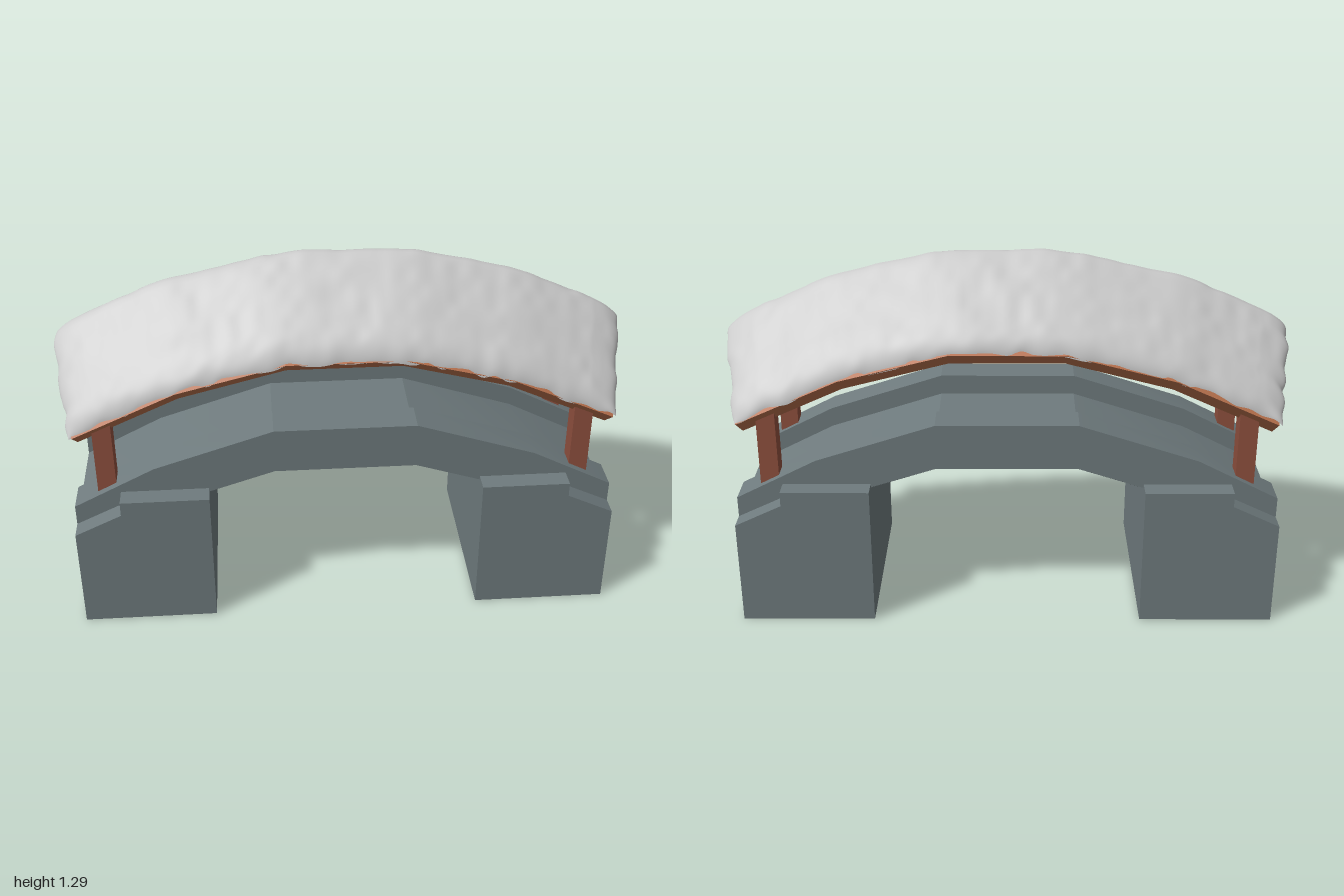
import * as THREE from 'three';
import { toCreasedNormals } from 'three/addons/utils/BufferGeometryUtils.js';

const mat = (color, extra = {}) => new THREE.MeshStandardMaterial({ color, ...extra });

// Piecewise-linear lookup, mirrored about x = 0; rows are [x, value]
function lookup(rows, x) {
  const a = Math.abs(x);
  let i = 0;
  while (i < rows.length - 2 && a > rows[i + 1][0]) i++;
  const [x0, v0] = rows[i], [x1, v1] = rows[i + 1];
  return v0 + (v1 - v0) * (a - x0) / (x1 - x0);
}

// Sweep a closed (z, y) section through stations; place(x, z, h) gives the point
function loft(section, stations, place, crease) {
  const n = section.length, pos = [], index = [];
  for (const x of stations) for (const [z, h] of section) pos.push(...place(x, z, h));
  for (let s = 0; s < stations.length - 1; s++) {
    for (let i = 0; i < n; i++) {
      const j = (i + 1) % n, a = s * n + i, b = s * n + j;
      index.push(a, a + n, b, b, a + n, b + n);
    }
  }
  const last = (stations.length - 1) * n;
  const caps = THREE.ShapeUtils.triangulateShape(section.map(p => new THREE.Vector2(...p)), []);
  for (const [a, b, c] of caps) index.push(a, b, c, last + a, last + c, last + b);
  const geo = new THREE.BufferGeometry();
  geo.setAttribute('position', new THREE.Float32BufferAttribute(pos, 3));
  geo.setIndex(index);
  return toCreasedNormals(geo, crease);
}

// Smooth value noise on a hashed lattice
function noise(x, y) {
  const hash = (i, j) => {
    const s = Math.sin(i * 127.1 + j * 311.7) * 43758.5453;
    return s - Math.floor(s);
  };
  const i = Math.floor(x), j = Math.floor(y);
  const u = THREE.MathUtils.smoothstep(x - i, 0, 1), v = THREE.MathUtils.smoothstep(y - j, 0, 1);
  const lerp = THREE.MathUtils.lerp;
  return lerp(lerp(hash(i, j), hash(i + 1, j), u), lerp(hash(i, j + 1), hash(i + 1, j + 1), u), v) * 2 - 1;
}

// Arch of the parapet top, eave line of the roof, and outward lean of the roof sections
const DECK = [[0, 0.74], [0.25, 0.74], [0.67, 0.605], [0.955, 0.46]];
const EAVE = [[0, 0.95], [0.2, 0.95], [0.57, 0.855], [0.925, 0.695]];
const LEAN = [[0, 0], [0.2, 0.04], [0.57, 0.17], [0.925, 0.22]];
const mirrored = list => [...list.map(x => -x).reverse(), ...list];

function snowGeometry() {
  const geo = new THREE.PlaneGeometry(2, 2, 200, 64), p = geo.attributes.position;
  for (let k = 0; k < p.count; k++) {
    // Crowd the grid towards the rims so they round over
    const u = Math.sin(p.getX(k) * Math.PI / 2), v = -Math.sin(p.getY(k) * Math.PI / 2);
    const xs = u * (0.931 + 0.007 * noise(v * 9, u > 0 ? 3 : 7));
    const z = v * (0.286 + 0.004 * noise(xs * 16, v > 0 ? 11 : 17));
    const h = 0.306 - 0.868 * (Math.sqrt(z * z + 0.0003) - 0.008);
    const rim = Math.sqrt(Math.max(0, 1 - Math.abs(v) ** 14)) * Math.sqrt(Math.max(0, 1 - Math.abs(u) ** 40));
    const lump = 0.004 * noise(xs * 9, z * 14) + 0.003 * noise(xs * 24 + 5, z * 24);
    const sag = -0.012 * (1 - rim) * (1 + noise(xs * 22, v * 8 + 30));
    // Average along the arch to soften its corners
    let y = 0;
    for (const d of [-0.1, -0.05, 0, 0.05, 0.1]) y += lookup(EAVE, xs + d * (1 - Math.abs(u))) / 5;
    const drop = Math.abs(u) > 0.9 ? 0.012 * (Math.abs(u) - 0.9) / 0.1 : 0;
    p.setXYZ(k, xs + h * lookup(LEAN, xs) * Math.sign(xs), y + h + rim * (0.036 + lump) + sag - drop * rim, z);
  }
  geo.computeVertexNormals();
  return geo;
}

export function createModel() {
  const group = new THREE.Group();
  const stone = mat(0x6f7b7e), timber = mat(0xb8714d), postWood = mat(0x8f503e);
  const snow = mat(0xcccccc, { side: THREE.DoubleSide });
  const add = (name, geo, material, parent = group) => {
    const mesh = new THREE.Mesh(geo, material);
    mesh.name = name;
    parent.add(mesh);
    return mesh;
  };

  // Arched deck: U-shaped section with parapets and a rounded belly
  const belly = Array.from({ length: 17 }, (_, i) => {
    const z = -0.285 + 0.57 * i / 16;
    return [z, -0.165 - 0.09 * Math.cos(Math.PI * z / 0.57)];
  });
  const deckSection = [...belly, [0.285, 0], [0.165, 0], [0.165, -0.073],
    [-0.165, -0.073], [-0.165, 0], [-0.285, 0]];
  add('archedDeck', loft(deckSection, mirrored([0.25, 0.67, 0.955]),
    (x, z, h) => [x, lookup(DECK, x) + h, z], 0.25), stone);

  // Abutments: a core below the deck and stepped shoulders on both sides
  const slab = (points, side, depth, z0) => {
    const shape = new THREE.Shape(points.map(([x, y]) => new THREE.Vector2(x * side, y)));
    return new THREE.ExtrudeGeometry(shape, { depth, bevelEnabled: false }).translate(0, 0, z0);
  };
  const core = [[0.48, 0], [0.955, 0], [0.955, 0.385], [0.67, 0.5], [0.48, 0.5]];
  const shoulder = [[0.48, 0], [0.955, 0], [0.955, 0.385], [0.79, 0.463], [0.79, 0.515], [0.48, 0.515]];
  for (const side of [-1, 1]) {
    const abutment = new THREE.Group();
    abutment.name = side > 0 ? 'leftAbutment' : 'rightAbutment';
    group.add(abutment);
    add('abutmentCore', slab(core, side, 0.57, -0.285), stone, abutment);
    add('frontShoulder', slab(shoulder, side, 0.07, 0.285), stone, abutment);
    add('backShoulder', slab(shoulder, side, 0.07, -0.355), stone, abutment);

    // Corner posts
    for (const face of [-1, 1]) {
      add(`${face > 0 ? 'front' : 'back'}${side > 0 ? 'Left' : 'Right'}Post`,
        new THREE.BoxGeometry(0.066, 0.29, 0.07), postWood).position.set(side * 0.839, 0.645, face * 0.222);
    }
  }

  // Gabled timber roof following the arch
  const roofSection = [[-0.23, 0], [0, 0.19], [0.23, 0], [0.288, 0.05], [0, 0.3], [-0.288, 0.05]];
  add('timberRoof', loft(roofSection, mirrored([0.2, 0.57, 0.925]),
    (x, z, h) => [x + h * lookup(LEAN, x) * Math.sign(x), lookup(EAVE, x) + h, z], 0.1), timber);

  // Snow blanket lying on the roof
  add('snowCover', snowGeometry(), snow);
  return group;
}
